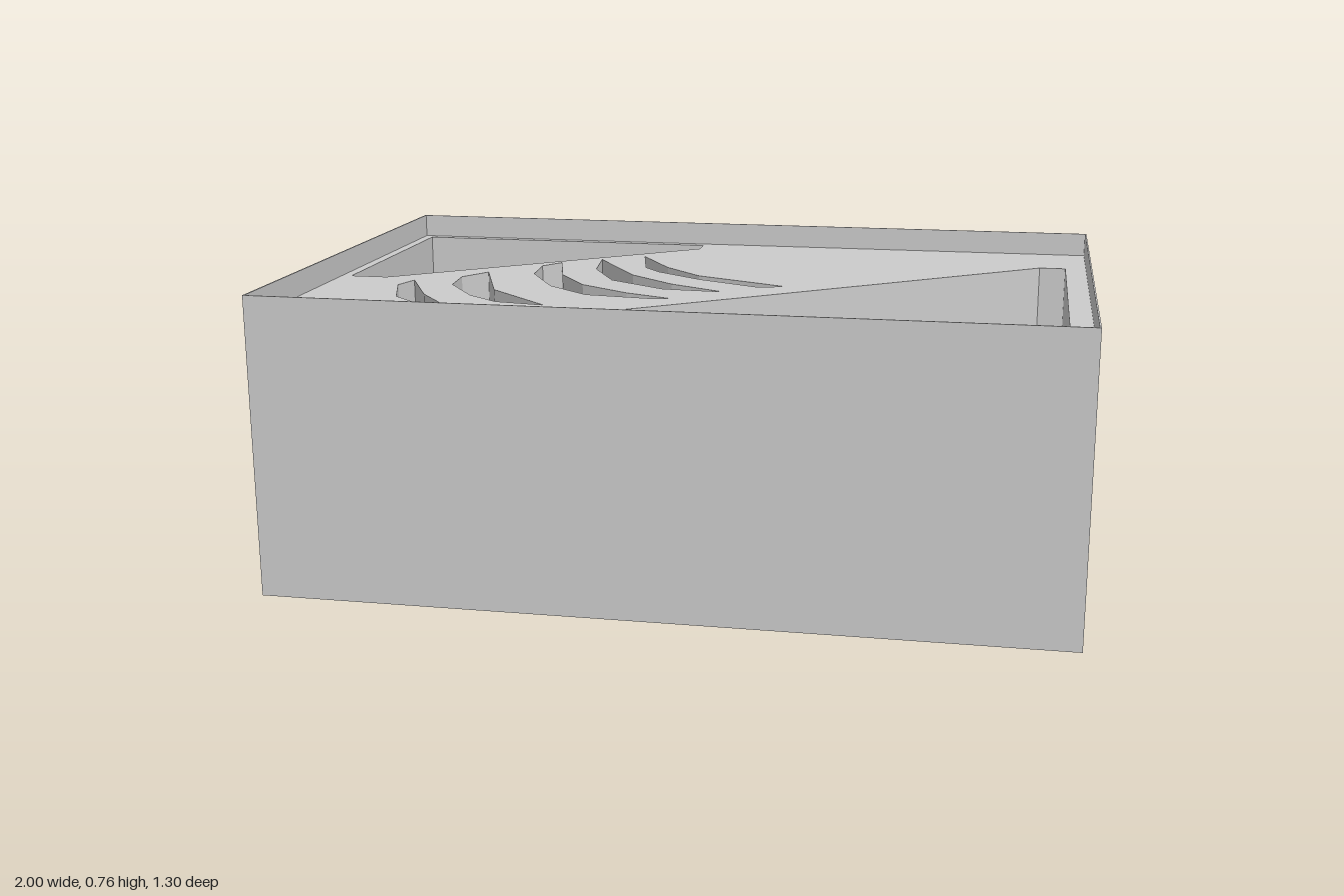
import * as THREE from 'three';

const WIDTH = 2, DEPTH = 1.3, HEIGHT = 0.76;
const DECK = 0.697, FLOOR = 0.04, RIM = 0.004;

// Outlines are [x, z] pairs seen from above
const POCKETS = [
  [[-0.97, -0.62], [-0.12, -0.62], [-0.12, -0.56], [-0.87, 0.04], [-0.97, 0.04]],
  [[-0.22, 0.41], [0.87, -0.42], [0.94, -0.42], [0.94, 0.59], [-0.22, 0.59]],
];
const SLOTS = [
  [[-0.78, 0.07], [-0.69, 0.25], [-0.59, 0.38], [-0.4, 0.44], [-0.55, 0.45], [-0.63, 0.4], [-0.75, 0.29], [-0.8, 0.14]],
  [[-0.62, -0.08], [-0.53, 0.16], [-0.35, 0.33], [-0.48, 0.31], [-0.57, 0.24], [-0.66, 0.11], [-0.67, 0]],
  [[-0.46, -0.26], [-0.41, -0.08], [-0.32, 0.05], [-0.18, 0.14], [-0.06, 0.19], [-0.11, 0.2], [-0.28, 0.18], [-0.4, 0.08], [-0.49, -0.08], [-0.5, -0.2]],
  [[-0.36, -0.33], [-0.22, -0.11], [-0.09, 0], [0.06, 0.08], [-0.1, 0.07], [-0.26, -0.03], [-0.34, -0.18]],
  [[-0.25, -0.4], [-0.15, -0.24], [-0.04, -0.13], [0.21, -0.02], [0.14, 0], [-0.03, -0.08], [-0.16, -0.17], [-0.21, -0.23]],
];

const toPoints = (list) => list.map(([x, z]) => new THREE.Vector2(x, z));

function rectangle(w, d) {
  return [[-w / 2, -d / 2], [w / 2, -d / 2], [w / 2, d / 2], [-w / 2, d / 2]];
}

// Flat slab with cut-outs, standing between two heights
function slab(outline, holes, bottom, top) {
  const shape = new THREE.Shape(toPoints(outline));
  shape.holes = holes.map((h) => new THREE.Path(toPoints(h)));
  const geometry = new THREE.ExtrudeGeometry(shape, { depth: top - bottom, bevelEnabled: false });
  return geometry.rotateX(Math.PI / 2).translate(0, top, 0);
}

export function createModel() {
  const group = new THREE.Group();
  group.name = 'trayBox';
  const material = new THREE.MeshStandardMaterial({ color: 0xcccccc, flatShading: true });
  const add = (name, geometry) => {
    const mesh = new THREE.Mesh(geometry, material);
    mesh.name = name;
    group.add(mesh);
  };

  const outer = rectangle(WIDTH, DEPTH);
  const inner = rectangle(WIDTH - 2 * RIM, DEPTH - 2 * RIM);

  // Closed base under the pockets
  add('floor', slab(outer, [], 0, FLOOR));
  // Solid body with two corner pockets and five curved slots
  add('body', slab(outer, [...POCKETS, ...SLOTS], FLOOR, DECK));
  // Thin wall standing around the deck
  add('rim', slab(outer, [inner], DECK, HEIGHT));

  return group;
}
